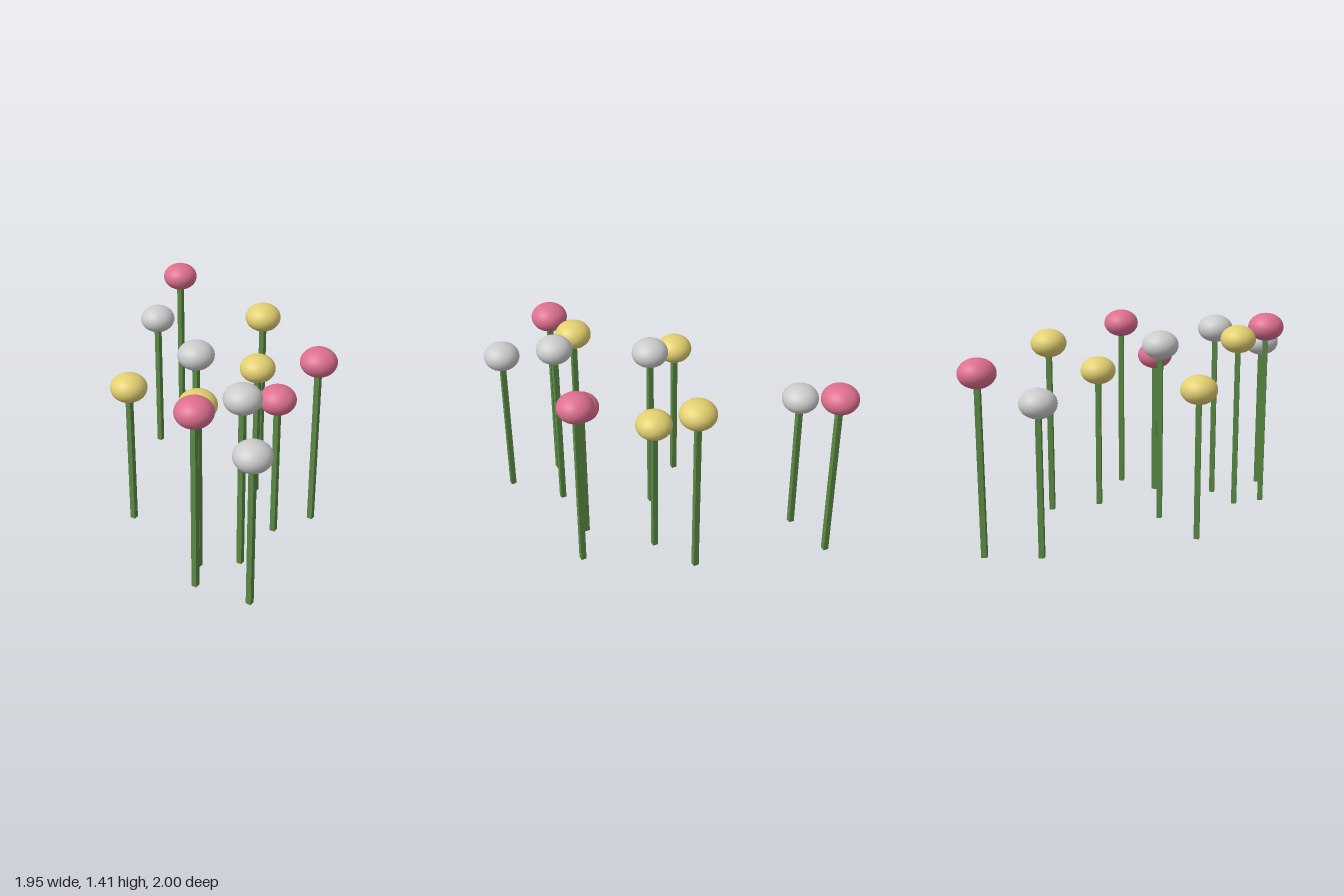
import * as THREE from 'three';

const HEAD_RADIUS = 0.125;
const HEAD_HALF_HEIGHT = 0.0975;
const STEM_WIDTH = 0.0375;

export function createModel() {
  const group = new THREE.Group();
  group.name = 'flowerPatch';

  const pink = new THREE.MeshStandardMaterial({ color: 0xdd6f8f });
  const yellow = new THREE.MeshStandardMaterial({ color: 0xe3d070 });
  const grey = new THREE.MeshStandardMaterial({ color: 0xcccccc });
  const green = new THREE.MeshStandardMaterial({ color: 0x5c8a45 });

  // x, z, height of the head's centre, head colour
  const flowers = [
    [-0.85, -0.875, 1.25, pink],
    [-0.8, -0.5, 1.055, grey],
    [-0.34, 0.475, 1.055, yellow],
    [0, 0.175, 1.265, grey],
    [0.045, -0.615, 1.24, yellow],
    [0.2, -0.295, 1.015, yellow],
    [0.355, 0.685, 1.24, yellow],
    [0.455, 0.873, 1.313, pink],
    [0.57, 0.065, 1.05, pink],
    [0.57, 0.505, 1.265, grey],
    [0.715, -0.21, 1.25, pink],
    [0.845, 0.83, 1.113, grey],
  ];

  // Shared flattened ball for every head
  const headGeometry = new THREE.SphereGeometry(HEAD_RADIUS, 32, 20);
  headGeometry.scale(1, HEAD_HALF_HEIGHT / HEAD_RADIUS, 1);

  for (const [x, z, height, material] of flowers) {
    const flower = new THREE.Group();
    flower.name = 'flower';
    flower.position.set(x, 0, z);

    // Square stem from the ground into the head
    const stem = new THREE.Mesh(new THREE.BoxGeometry(STEM_WIDTH, height, STEM_WIDTH), green);
    stem.name = 'stem';
    stem.position.y = height / 2;

    const head = new THREE.Mesh(headGeometry, material);
    head.name = 'flowerHead';
    head.position.y = height;

    flower.add(stem, head);
    group.add(flower);
  }
  return group;
}
